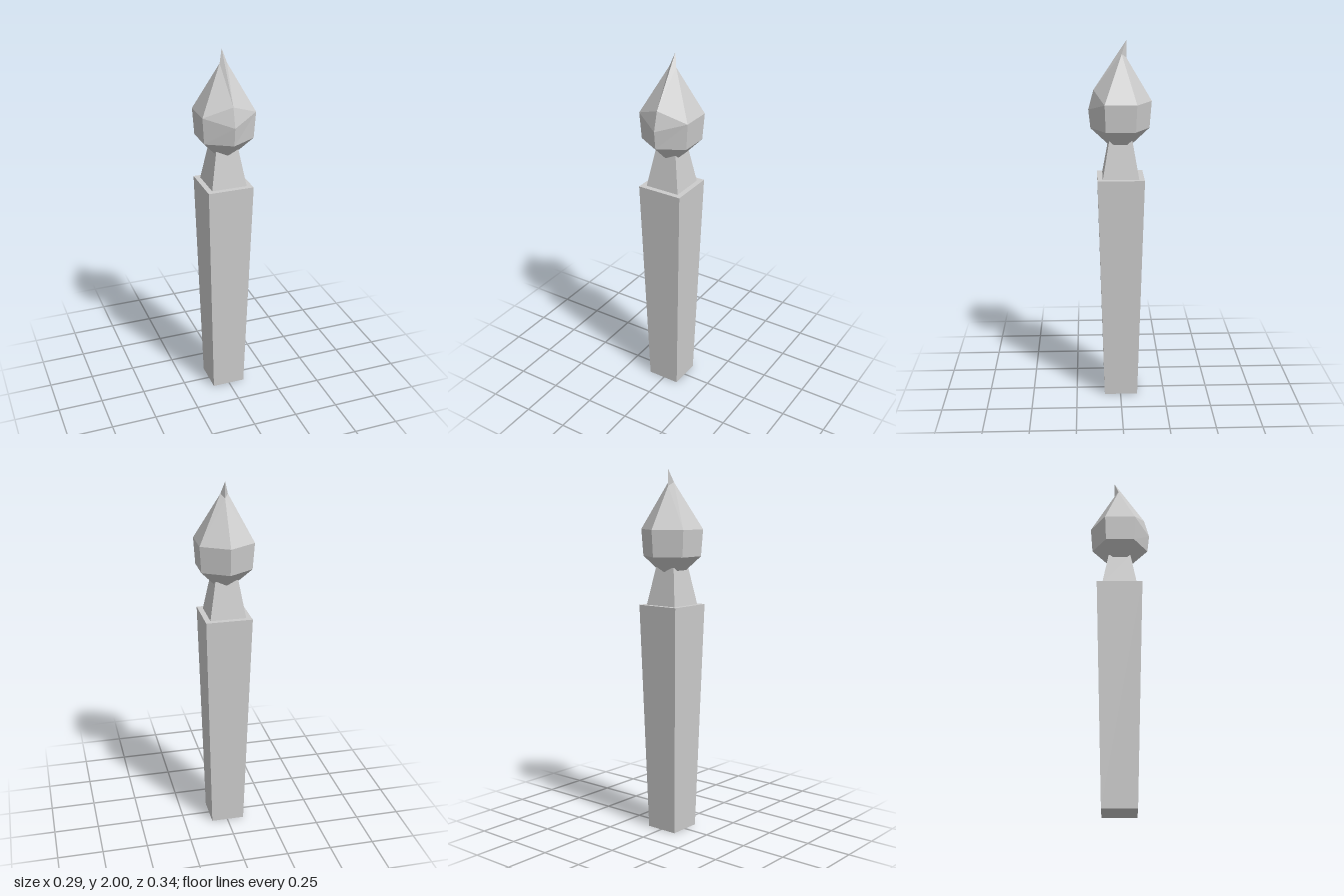
import * as THREE from 'three';

const material = new THREE.MeshStandardMaterial({ color: 0xcccccc, flatShading: true });

// Square tapered block between two heights, given its half widths
function taperedBlock(name, y0, y1, half0, half1) {
  const geo = new THREE.CylinderGeometry(half1 * Math.SQRT2, half0 * Math.SQRT2, y1 - y0, 4);
  geo.rotateY(Math.PI / 4);
  geo.translate(-0.0025, (y0 + y1) / 2, -0.0025);
  const mesh = new THREE.Mesh(geo, material);
  mesh.name = name;
  return mesh;
}

// Hexagonal ring with a corner facing front; order: front, then round via +x
function hexRing(y, r, frontY = y) {
  return Array.from({ length: 6 }, (_, i) => {
    const a = (i * Math.PI) / 3;
    return [r * Math.sin(a), i === 0 ? frontY : y, r * Math.cos(a)];
  });
}

// Faceted flame: hexagonal rings below, a swept-back hooked tip above
function flame() {
  const pos = [];
  const tri = (a, b, c) => pos.push(...a, ...b, ...c);
  const rings = [hexRing(1.45, 0.068), hexRing(1.535, 0.159), hexRing(1.68, 0.17, 1.635)];

  // Bulb sides and underside
  for (let i = 0; i < 6; i++) {
    const j = (i + 1) % 6;
    for (let k = 0; k < 2; k++) {
      const [lo, hi] = [rings[k], rings[k + 1]];
      tri(lo[i], lo[j], hi[j]);
      tri(lo[i], hi[j], hi[i]);
    }
    tri([0, 1.45, 0], rings[0][j], rings[0][i]);
  }

  // Upper facets, mirrored about the front ridge
  const top = rings[2];
  const tip = [0, 2, -0.033], ridge = [0, 1.74, 0.142], notch = [0, 1.91, -0.033];
  for (const s of [1, -1]) {
    const node = [0.02 * s, 1.93, -0.008];
    const side = (i) => top[s > 0 ? i : (6 - i) % 6];
    const face = (a, b, c) => (s > 0 ? tri(a, b, c) : tri(a, c, b));
    face(top[0], side(1), ridge);
    face(ridge, side(1), node);
    face(ridge, node, tip);
    face(side(1), side(2), node);
    face(side(2), top[3], notch);
    face(side(2), notch, node);
    face(node, notch, tip);
  }

  const geo = new THREE.BufferGeometry();
  geo.setAttribute('position', new THREE.Float32BufferAttribute(pos, 3));
  geo.computeVertexNormals();
  const mesh = new THREE.Mesh(geo, material);
  mesh.name = 'flame';
  return mesh;
}

export function createModel() {
  const group = new THREE.Group();
  group.name = 'torch';
  group.add(
    taperedBlock('handle', 0, 1.27, 0.093, 0.127),
    taperedBlock('neck', 1.27, 1.475, 0.098, 0.062),
    flame()
  );
  return group;
}
